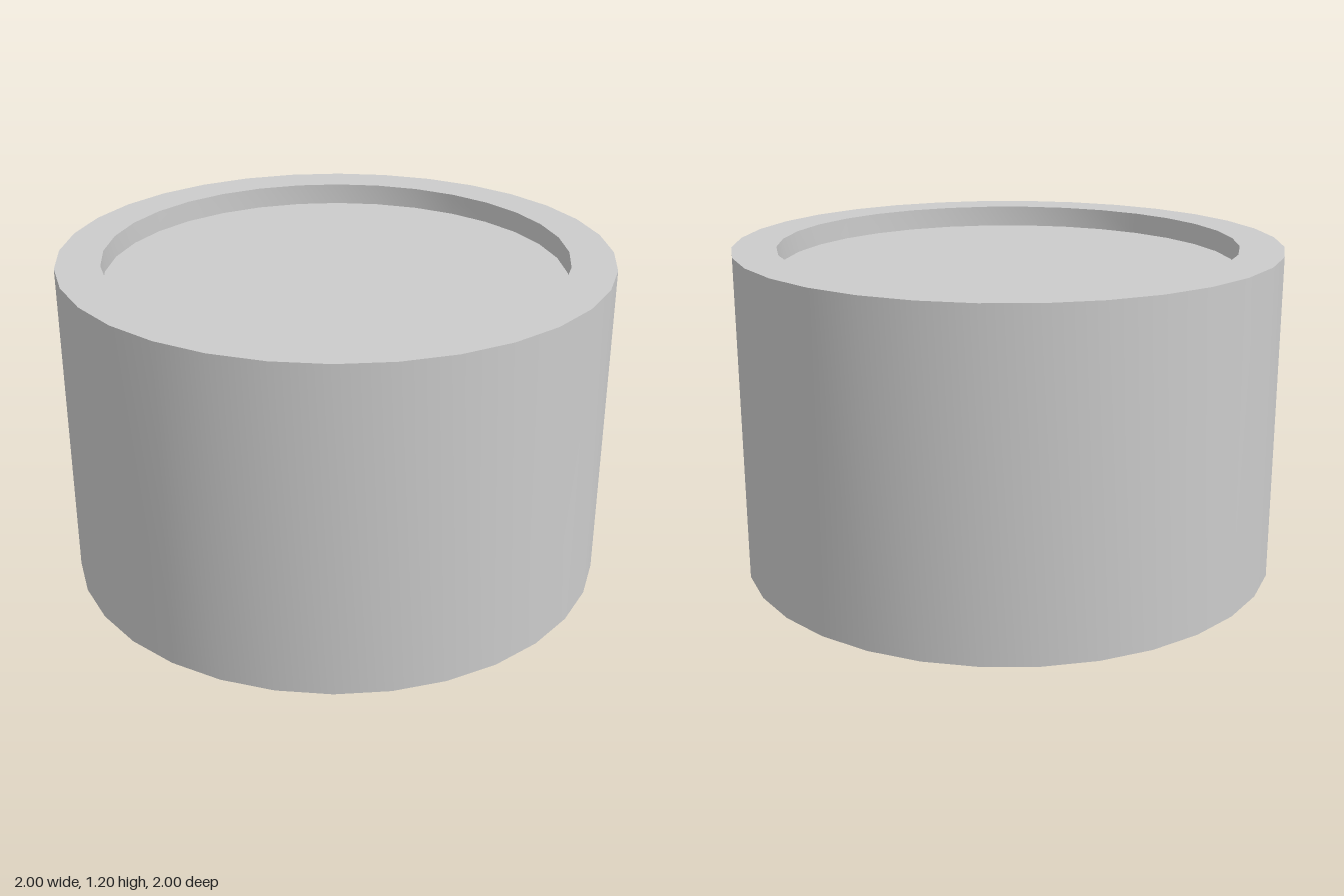
import * as THREE from 'three';
import { toCreasedNormals } from 'three/addons/utils/BufferGeometryUtils.js';

const SIDES = 32;
const RADIUS = 1, HEIGHT = 1.2;
const INNER_RADIUS = 0.84, FLOOR_Y = 1.12;

export function createModel() {
  const group = new THREE.Group();
  group.name = 'recessedDrum';
  const material = new THREE.MeshStandardMaterial({ color: 0xcccccc });

  const add = (name, geometry) => {
    const mesh = new THREE.Mesh(geometry, material);
    mesh.name = name;
    group.add(mesh);
    return mesh;
  };

  // Outer wall, flat rim and the short inner wall of the recess
  const profile = [
    [RADIUS, 0],
    [RADIUS, HEIGHT],
    [INNER_RADIUS, HEIGHT],
    [INNER_RADIUS, FLOOR_Y],
  ].map(([x, y]) => new THREE.Vector2(x, y));
  add('wallAndRim', toCreasedNormals(new THREE.LatheGeometry(profile, SIDES), 0.6));

  // Sunken top face
  const floor = add('recessFloor', new THREE.CircleGeometry(INNER_RADIUS, SIDES));
  floor.rotation.x = -Math.PI / 2;
  floor.position.y = FLOOR_Y;

  // Underside
  const base = add('base', new THREE.CircleGeometry(RADIUS, SIDES));
  base.rotation.x = Math.PI / 2;

  return group;
}
